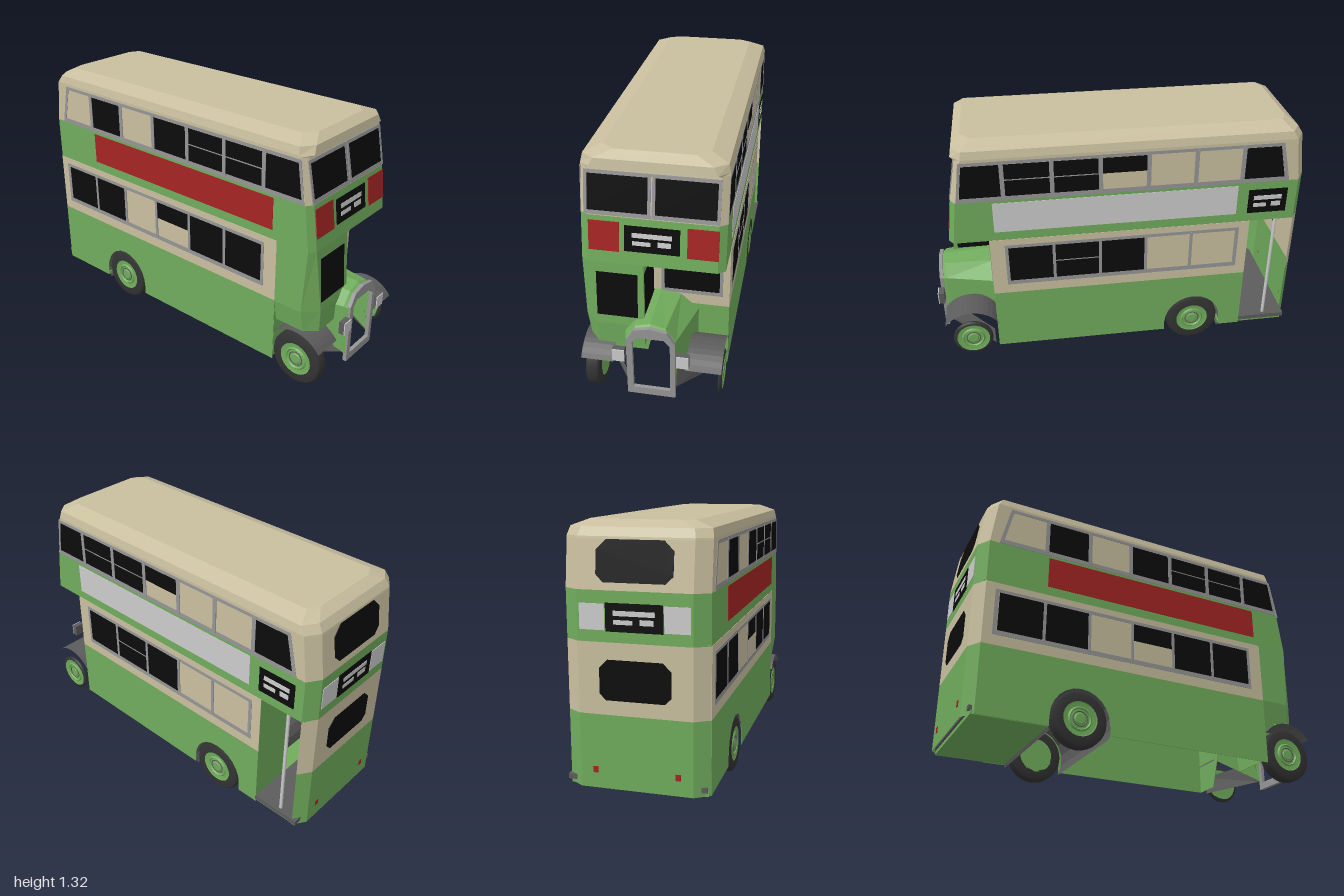
import * as THREE from 'three';

const mat = (name, color, side = THREE.DoubleSide) => {
  const m = new THREE.MeshStandardMaterial({ color, side });
  m.name = name;
  return m;
};

export function createModel() {
  const bus = new THREE.Group();
  bus.name = 'doubleDeckBus';
  const cream = mat('cream', 0xc9bf9f), green = mat('green', 0x70ac5c), red = mat('red', 0xa52424);
  const light = mat('light grey', 0xcccccc), trim = mat('trim grey', 0x969696), dark = mat('dark grey', 0x5c5c5c);
  const black = mat('black', 0x0b0b0b), rubber = mat('rubber', 0x333333);
  const W = 0.342;

  const add = (name, geo, m, parent = bus) => {
    const mesh = new THREE.Mesh(geo, m);
    mesh.name = name;
    parent.add(mesh);
    return mesh;
  };
  const box = (name, m, x0, x1, y0, y1, z0, z1) =>
    add(name, new THREE.BoxGeometry(x1 - x0, y1 - y0, z1 - z0), m)
      .position.set((x0 + x1) / 2, (y0 + y1) / 2, (z0 + z1) / 2);

  // Skin over a list of cross-sections, flat shaded, optionally closed and capped
  const loft = (name, m, rings, closed = false, cap = false) => {
    const p = [], n = rings[0].length;
    const tri = (...v) => v.forEach(q => p.push(...q));
    for (let i = 0; i + 1 < rings.length; i++)
      for (let j = 0; j < (closed ? n : n - 1); j++) {
        const k = (j + 1) % n, a = rings[i], b = rings[i + 1];
        tri(a[j], b[j], b[k], a[j], b[k], a[k]);
      }
    const top = rings[rings.length - 1];
    if (cap) for (let j = 1; j < n - 1; j++) tri(top[0], top[j], top[j + 1]);
    const g = new THREE.BufferGeometry();
    g.setAttribute('position', new THREE.Float32BufferAttribute(p, 3));
    g.computeVertexNormals();
    return add(name, g, m);
  };

  // Thin plates on a flat face; layer raises them above one another
  const rect = (x0, x1, y0, y1) => [[x0, y0], [x1, y0], [x1, y1], [x0, y1]];
  const vec = pts => pts.map(q => new THREE.Vector2(...q));
  const plate = (face, name, m, pts, layer = 0, hole) => {
    const s = new THREE.Shape(vec(pts));
    if (hole) s.holes.push(new THREE.Path(vec(hole)));
    add(name, new THREE.ExtrudeGeometry(s, { depth: 0.003 + layer * 0.002, bevelEnabled: false }), m, face);
  };
  const face = (name, x, y, z, tilt, turn) => {
    const g = new THREE.Group();
    g.name = name;
    g.position.set(x, y, z);
    g.rotation.set(tilt, turn, 0);
    bus.add(g);
    return g;
  };
  const blind = (f, u, y0, y1, w) => {
    const h = y1 - y0;
    plate(f, 'routeBlind', black, rect(u - w, u + w, y0, y1));
    plate(f, 'blindBar', light, rect(u - w * 0.72, u + w * 0.72, y0 + h * 0.56, y0 + h * 0.74), 1);
    plate(f, 'blindBar', light, rect(u - w * 0.72, u - w * 0.05, y0 + h * 0.26, y0 + h * 0.42), 1);
    plate(f, 'blindBar', light, rect(u + w * 0.2, u + w * 0.68, y0 + h * 0.26, y0 + h * 0.46), 1);
  };

  // Upper deck: octagonal rings
  const ring = (y, hw, f, r, cx = 0.035, cz = 0.025, rx = 0.07, rz = 0.045) => [
    [-hw + cx, y, f], [hw - cx, y, f], [hw, y, f - cz], [hw, y, r + rz],
    [hw - rx, y, r], [-hw + rx, y, r], [-hw, y, r + rz], [-hw, y, f - cz]];
  loft('upperGreenBand', green, [ring(0.78, W, 0.885, -0.985), ring(1.015, W, 0.855, -0.985)], true);
  loft('upperWindowBand', cream, [ring(1.015, W, 0.855, -0.985), ring(1.24, W, 0.812, -0.956)], true);
  loft('roof', cream, [ring(1.24, W, 0.812, -0.956), ring(1.25, W, 0.832, -0.954, 0.05, 0.05),
    ring(1.29, 0.333, 0.825, -0.93, 0.06, 0.05), ring(1.322, 0.25, 0.78, -0.88, 0.06, 0.05, 0.06, 0.03)], true, true);
  box('upperFloor', green, -0.335, 0.335, 0.78, 0.787, -0.95, 0.85);

  // Lower side walls with rear wheel arches
  const wheelArch = [];
  for (let i = 0; i <= 12; i++) {
    const a = Math.PI * i / 12;
    wheelArch.push([-0.42 + 0.16 * Math.cos(a), 0.13 + 0.17 * Math.sin(a)]);
  }
  const sides = [1, -1].map(s => {
    const f = face(s > 0 ? 'leftSide' : 'rightSide', s * (W - 0.001), 0, 0, 0, s * Math.PI / 2);
    return { s, f, put: (name, m, pts, layer, hole) => {
      const flip = q => q.map(([z, y]) => [-s * z, y]);
      plate(f, name, m, flip(pts), layer, hole && flip(hole));
    } };
  });
  for (const { s, f, put } of sides) {
    const end = s > 0 ? -0.7 : -0.94;
    put('lowerPanel', green, [[0.68, 0.08], [-0.26, 0.08], ...wheelArch, [-0.58, 0.08], [end, 0.08], [end, 0.44], [0.68, 0.44]]);
    put('windowPanel', cream, rect(end, 0.68, 0.44, 0.78));
    put('advertBoard', s > 0 ? light : red, rect(-0.62, 0.65, 0.83, 1.0));
    if (s > 0) blind(f, 0.785, 0.83, 0.97, 0.105);

    // Upper windows: front and rear panes lean with the ends
    put('upperFrame', trim, [[0.825, 1.015], [-0.89, 1.015], [-0.84, 1.235], [0.795, 1.235]], 0,
      [[0.808, 1.04], [-0.865, 1.04], [-0.825, 1.218], [0.782, 1.218]]);
    for (let i = 0; i < 7; i++) {
      const z1 = 0.828 - 0.245 * i, z0 = z1 - 0.235;
      const a0 = i === 6 ? -0.862 : z0, b0 = i === 6 ? -0.825 : z0;
      const a1 = i ? z1 : 0.807, b1 = i ? z1 : 0.782;
      if (i) put('upperPillar', trim, rect(z1 - 0.004, z1 + 0.018, 1.03, 1.225), 1);
      if (s > 0 ? [4, 5].includes(i) : [4, 6].includes(i)) continue;
      const half = s > 0 && i === 3;
      put('upperPane', black, [[a0, half ? 1.13 : 1.04], [a1, half ? 1.13 : 1.04], [b1, 1.216], [b0, 1.216]]);
      if (i === 1 || i === 2) put('slidingRail', trim, rect(z0, z1, 1.128, 1.133), 1);
    }

    // Lower windows: five on the platform side, six opposite
    const n = s > 0 ? 5 : 6, back = 0.6 - 0.245 * n - 0.02;
    put('lowerFrame', trim, rect(back, 0.605, 0.495, 0.745), 1, rect(back + 0.02, 0.588, 0.52, 0.727));
    for (let i = 0; i < n; i++) {
      const z1 = 0.588 - 0.245 * i, z0 = z1 - 0.23;
      if (i) put('lowerPillar', trim, rect(z1, z1 + 0.016, 0.51, 0.735), 2);
      if (s > 0 ? i > 2 : i === 3) continue;
      put('lowerPane', black, rect(z0, z1, s < 0 && i === 2 ? 0.63 : 0.52, 0.727), 1);
      if (s > 0 && i === 1) put('slidingRail', trim, rect(z0, z1, 0.625, 0.63), 2);
    }
  }

  // Rear wall wrapping the corners
  const rearLine = y => [[-W, y, -0.94], [-0.272, y, -0.985], [0.272, y, -0.985], [W, y, -0.94]];
  loft('rearLowerPanel', green, [rearLine(0.08), rearLine(0.44)]);
  loft('rearWindowPanel', cream, [rearLine(0.44), rearLine(0.78)]);
  const rear = face('rearFace', 0, 0, -0.985, 0, Math.PI);
  const pane = (w, y0, y1, c) => [[-w + c, y0], [w - c, y0], [w, y0 + c], [w, y1 - 1.3 * c], [w - 1.3 * c, y1],
    [-w + 1.3 * c, y1], [-w, y1 - 1.3 * c], [-w, y0 + c]];
  plate(rear, 'rearLowerWindow', black, pane(0.17, 0.51, 0.7, 0.03));
  blind(rear, 0, 0.83, 0.96, 0.135);
  for (const s of [-1, 1]) {
    plate(rear, 'rearSidePanel', light, rect(s * 0.2 - 0.06, s * 0.2 + 0.06, 0.835, 0.955));
    plate(rear, 'tailLamp', red, rect(s * 0.2 - 0.012, s * 0.2 + 0.012, 0.155, 0.185));
  }
  plate(face('rearUpperFace', 0, 1.015, -0.985, 0.128, Math.PI), 'rearUpperWindow', black, pane(0.18, 0.035, 0.225, 0.035));

  // Open boarding platform
  box('platformUnderside', green, -0.335, 0.335, 0.08, 0.1, -0.955, -0.58);
  box('platformStep', dark, -0.33, 0.348, 0.1, 0.125, -0.965, -0.7);
  box('platformBulkhead', green, 0.1, W, 0.08, 0.78, -0.7, -0.69);
  const pole = add('grabPole', new THREE.CylinderGeometry(0.009, 0.009, 0.66, 10), light);
  pole.position.set(0.32, 0.452, -0.85);

  // Front bulkhead behind the bonnet
  const front = face('frontBulkhead', 0, 0, 0.678, 0, 0);
  plate(front, 'bulkheadCream', cream, rect(-0.05, W, 0.44, 0.78));
  plate(front, 'bulkheadGreen', green, [[-W, 0.1], [-0.08, 0.1], [-0.04, 0.27], [0.13, 0.27], [0.2, 0.08], [W, 0.08], [W, 0.44], [-W, 0.44]]);
  plate(front, 'saloonFrontFrame', trim, rect(0, 0.31, 0.5, 0.75), 2, rect(0.016, 0.294, 0.52, 0.73));
  plate(front, 'saloonFrontPane', black, rect(0.016, 0.294, 0.52, 0.73), 1);

  // Upper front: split window, red boards and blind
  const upFront = face('upperFrontFace', 0, 1.015, 0.855, -0.189, 0);
  for (const [a, b] of [[-0.32, -0.008], [-0.002, 0.31]]) {
    plate(upFront, 'frontFrame', trim, rect(a, b, 0.005, 0.217), 1, rect(a + 0.015, b - 0.015, 0.025, 0.2));
    plate(upFront, 'frontPane', black, rect(a + 0.015, b - 0.015, 0.025, 0.2));
  }
  const band = face('frontBandFace', 0, 0.78, 0.885, -0.127, 0);
  blind(band, 0, 0.07, 0.2, 0.13);
  for (const x of [-0.228, 0.237]) plate(band, 'frontBoard', red, rect(x - 0.073, x + 0.073, 0.062, 0.212));

  // Half-width driver's cab
  const cabRing = (y, x, f, cx, cz) => [[-x, y, 0.68], [-x, y, f - cz], [-x + cx, y, f], [-0.04, y, f], [-0.04, y, 0.68]];
  loft('cab', green, [cabRing(0.32, 0.325, 0.905, 0.055, 0.06), cabRing(0.44, 0.345, 0.91, 0.07, 0.07),
    cabRing(0.78, W, 0.885, 0.035, 0.025)]);
  plate(face('cabFront', 0, 0.44, 0.91, -0.073, 0), 'windscreen', black, rect(-0.27, -0.07, 0.05, 0.288));
  plate(face('cabInnerSide', -0.04, 0, 0, 0, Math.PI / 2), 'cabSideWindow', black, rect(-0.88, -0.69, 0.5, 0.73));

  // Bonnet and radiator shell
  const bonnetRing = (z, w, low, side, tw, top) => [[-w, low, z], [-w, side, z], [-tw, top - 0.02, z], [0, top, z],
    [tw, top - 0.02, z], [w, side, z], [w, low, z]];
  loft('bonnet', green, [bonnetRing(0.68, 0.19, 0.25, 0.41, 0.1, 0.51), bonnetRing(0.95, 0.125, 0.14, 0.41, 0.075, 0.497),
    bonnetRing(0.975, 0.115, 0.12, 0.4, 0.07, 0.475)]);
  const shell = new THREE.Shape(vec([[-0.115, 0.08], [0.125, 0.08], [0.125, 0.41], [0.085, 0.475], [0, 0.492], [-0.075, 0.475], [-0.115, 0.41]]));
  shell.holes.push(new THREE.Path(vec([[-0.085, 0.12], [0.1, 0.12], [0.1, 0.4], [0.07, 0.432], [-0.06, 0.432], [-0.085, 0.4]])));
  add('radiatorShell', new THREE.ExtrudeGeometry(shell, { depth: 0.02, bevelEnabled: false }), trim).position.z = 0.965;
  for (const x of [-0.152, 0.163]) {
    box('headlampBody', dark, x - 0.03, x + 0.03, 0.287, 0.355, 0.965, 0.995);
    box('headlampLens', light, x - 0.03, x + 0.03, 0.287, 0.355, 0.995, 1.0);
  }

  // Mudguards, aprons and the rear wheel housing
  const arc = (name, x0, x1, z, r, a0, a1) => {
    const row = x => Array.from({ length: 13 }, (_, i) => {
      const a = (a0 + (a1 - a0) * i / 12) * Math.PI / 180;
      return [x, 0.145 + r * Math.sin(a), z + r * Math.cos(a)];
    });
    loft(name, dark, [row(x0), row(x1)]);
  };
  arc('rightMudguard', -0.354, -0.19, 0.82, 0.175, 35, 140);
  arc('leftMudguard', 0.17, 0.347, 0.82, 0.175, 35, 150);
  arc('rearWheelHousing', -0.335, 0.335, -0.42, 0.175, -28, 208);
  loft('leftApron', dark, [[[0.125, 0.13, 0.96], [0.125, 0.25, 0.94]], [[0.31, 0.07, 0.7], [0.31, 0.17, 0.7]]]);
  loft('rightApron', dark, [[[-0.115, 0.13, 0.96], [-0.115, 0.17, 0.94]], [[-0.27, 0.09, 0.7], [-0.27, 0.13, 0.7]]]);

  // Wheels: rubber tyre, green dished hub
  const wheel = (name, s, x, z, r, w) => {
    const g = new THREE.Group();
    g.name = name;
    const h = w / 2, hub = 0.095;
    const tyre = vec([[hub - 0.005, -h], [r - 0.012, -h], [r, -h * 0.6], [r, h * 0.6], [r - 0.012, h], [hub - 0.005, h]]);
    add('tyre', new THREE.LatheGeometry(tyre, 28), rubber, g);
    const dish = vec([[0, h], [0.025, h], [0.03, h - 0.004], [0.05, h - 0.006], [0.056, h + 0.001], [0.064, h - 0.006], [0.085, h - 0.004], [hub, h], [hub, -h], [0, -h]]);
    add('hub', new THREE.LatheGeometry(dish, 24).toNonIndexed(), green, g).geometry.computeVertexNormals();
    add('hubRing', new THREE.TorusGeometry(0.038, 0.003, 6, 24).rotateX(Math.PI / 2).translate(0, h - 0.003, 0), dark, g);
    g.rotation.z = -s * Math.PI / 2;
    g.position.set(x, 0.145, z);
    bus.add(g);
  };
  wheel('frontRightWheel', -1, -0.303, 0.82, 0.145, 0.072);
  wheel('frontLeftWheel', 1, 0.335, 0.82, 0.108, 0.02);
  wheel('rearRightWheel', -1, -0.31, -0.42, 0.145, 0.066);
  wheel('rearLeftWheel', 1, 0.312, -0.42, 0.145, 0.066);

  return bus;
}
